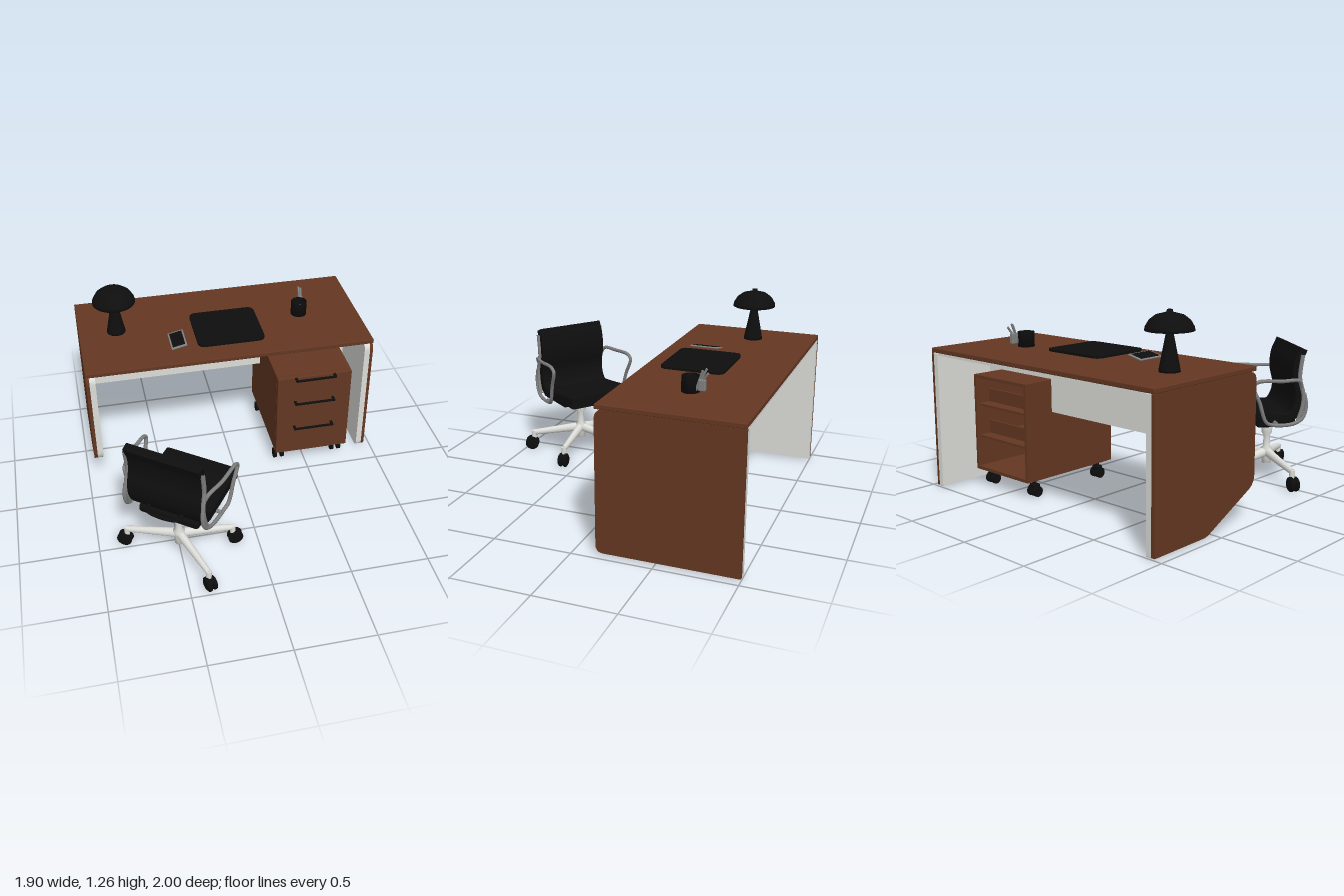
import * as THREE from 'three';
import { RoundedBoxGeometry } from 'three/addons/geometries/RoundedBoxGeometry.js';

const mat = (name, color, side = THREE.FrontSide) => {
  const m = new THREE.MeshStandardMaterial({ color, side });
  m.name = name;
  return m;
};
const V = (x, y, z) => new THREE.Vector3(x, y, z);

export function createModel() {
  const wood = mat('wood', 0x643722), white = mat('white lacquer', 0xdcdcd8);
  const black = mat('black', 0x0e0e0e, THREE.DoubleSide), grey = mat('grey metal', 0x808080);
  const model = new THREE.Group();

  const group = (name, parent = model) => {
    const g = new THREE.Group();
    g.name = name;
    parent.add(g);
    return g;
  };
  const add = (parent, name, geo, m) => {
    const mesh = new THREE.Mesh(geo, m);
    mesh.name = name;
    parent.add(mesh);
    return mesh;
  };
  // box given by its limits on each axis
  const box = (p, name, m, [x0, x1], [y0, y1], [z0, z1], r = 0) => {
    const s = [x1 - x0, y1 - y0, z1 - z0];
    const geo = r ? new RoundedBoxGeometry(...s, 3, r) : new THREE.BoxGeometry(...s);
    const mesh = add(p, name, geo, m);
    mesh.position.set((x0 + x1) / 2, (y0 + y1) / 2, (z0 + z1) / 2);
    return mesh;
  };
  // tapered round bar from a to b
  const rod = (p, name, m, a, b, ra, rb = ra) => {
    const d = b.clone().sub(a);
    const mesh = add(p, name, new THREE.CylinderGeometry(rb, ra, d.length(), 20), m);
    mesh.position.copy(a).addScaledVector(d, 0.5);
    mesh.quaternion.setFromUnitVectors(V(0, 1, 0), d.normalize());
    return mesh;
  };
  const tube = (p, name, m, pts, r, n = 60) =>
    add(p, name, new THREE.TubeGeometry(new THREE.CatmullRomCurve3(pts), n, r, 8), m);
  // closed outline of [x, y, cornerRadius]
  const outline = pts => {
    const shape = new THREE.Shape();
    pts.forEach(([x, y, r], i) => {
      const c = new THREE.Vector2(x, y);
      const toward = q => c.clone().add(new THREE.Vector2(q[0] - x, q[1] - y).setLength(r));
      const a = toward(pts[(i + pts.length - 1) % pts.length]);
      const b = toward(pts[(i + 1) % pts.length]);
      if (i) shape.lineTo(a.x, a.y); else shape.moveTo(a.x, a.y);
      shape.quadraticCurveTo(x, y, b.x, b.y);
    });
    return shape;
  };
  // extrude along x; shape x runs towards -z
  const sideExtrude = (shape, x0, depth, bevel = 0) => new THREE.ExtrudeGeometry(shape, {
    depth, bevelEnabled: bevel > 0, bevelSize: bevel, bevelThickness: bevel, bevelSegments: 3, curveSegments: 8,
  }).rotateY(Math.PI / 2).translate(x0, 0, 0);

  // desk: top, two-layer side panels, modesty panel
  const desk = group('desk');
  box(desk, 'deskTop', wood, [-0.95, 0.95], [0.885, 0.915], [-1, -0.135], 0.005);
  box(desk, 'topLining', white, [-0.93, 0.93], [0.868, 0.885], [-0.995, -0.17]);
  const rightSide = outline([[0.135, 0.01, 0.05], [1, 0.01, 0.005], [1, 0.885, 0.005], [0.135, 0.885, 0.06]]);
  const leftSide = outline([[0.57, 0.01, 0.03], [1, 0.01, 0.005], [1, 0.885, 0.005], [0.135, 0.885, 0.06], [0.135, 0.22, 0.06]]);
  add(desk, 'rightPanelOuter', sideExtrude(rightSide, 0.93, 0.02), wood);
  add(desk, 'rightPanelInner', sideExtrude(rightSide, 0.893, 0.037), white);
  add(desk, 'leftPanelOuter', sideExtrude(leftSide, -0.95, 0.022), wood);
  add(desk, 'leftPanelInner', sideExtrude(leftSide, -0.928, 0.038), white);
  box(desk, 'modestyPanel', white, [-0.893, 0.893], [0.74, 0.87], [-0.59, -0.565]);
  box(desk, 'modestyPanelLower', white, [-0.893, 0.285], [0.53, 0.74], [-0.59, -0.565]);
  box(desk, 'modestyPanelSide', white, [0.79, 0.893], [0.11, 0.74], [-0.59, -0.565]);

  // drawer pedestal, open at the back
  const ped = group('pedestal');
  box(ped, 'drawerFront', wood, [0.285, 0.79], [0.11, 0.735], [-0.1, -0.065], 0.004);
  for (const x of [0.285, 0.77]) box(ped, 'pedestalSide', wood, [x, x + 0.02], [0.11, 0.735], [-0.8, -0.1]);
  for (const y of [0.11, 0.715]) box(ped, 'pedestalBoard', wood, [0.305, 0.77], [y, y + 0.02], [-0.8, -0.1]);
  for (const y of [0.32, 0.53]) {
    box(ped, 'drawerFloor', wood, [0.305, 0.77], [y, y + 0.015], [-0.78, -0.1]);
    box(ped, 'drawerBack', wood, [0.305, 0.77], [y, y + 0.1], [-0.7, -0.685]);
  }
  for (const y of [0.73, 0.54, 0.33]) {
    box(ped, 'handleBar', black, [0.4, 0.675], [y - 0.007, y + 0.007], [-0.038, -0.024], 0.004);
    for (const x of [0.4, 0.66]) box(ped, 'handlePost', black, [x, x + 0.015], [y - 0.006, y + 0.006], [-0.066, -0.03]);
  }
  for (const x of [0.325, 0.74]) for (const z of [-0.16, -0.71]) {
    const c = group('pedestalCaster', ped);
    for (const s of [-1, 1]) {
      const w = add(c, 'wheel', new THREE.CylinderGeometry(0.035, 0.035, 0.02, 20), black);
      w.rotation.z = Math.PI / 2;
      w.position.set(s * 0.025, 0.036, 0);
    }
    box(c, 'casterFork', black, [-0.028, 0.028], [0.055, 0.085], [-0.024, 0.024], 0.01);
    rod(c, 'casterStem', black, V(0, 0.08, 0), V(0, 0.112, 0), 0.012);
    c.position.set(x, 0, z);
  }

  // mushroom lamp
  const lathe = (p, name, m, pts) =>
    add(p, name, new THREE.LatheGeometry(pts.map(q => new THREE.Vector2(...q)), 40), m);
  const lamp = group('lamp');
  lamp.position.set(-0.7, 0.915, -0.6);
  lathe(lamp, 'lampStand', black, [[0, 0], [0.062, 0], [0.06, 0.015], [0.022, 0.21], [0.012, 0.25], [0, 0.25]]);
  lathe(lamp, 'lampShade', black, [[0, 0.245], [0.08, 0.24], [0.125, 0.226], [0.14, 0.228], [0.137, 0.248],
    [0.115, 0.285], [0.08, 0.312], [0.03, 0.326], [0.018, 0.328], [0.016, 0.343], [0, 0.345]]);

  // things on the desk top
  const items = group('deskItems');
  const pad = add(items, 'deskPad', new THREE.ExtrudeGeometry(
    outline([[-0.2, 0.26, 0.05], [0.245, 0.26, 0.05], [0.245, 0.66, 0.05], [-0.2, 0.66, 0.05]]),
    { depth: 0.016, bevelEnabled: false }), black);
  pad.rotation.x = -Math.PI / 2;
  pad.position.y = 0.931;
  box(items, 'padFoot', black, [-0.1, 0.15], [0.915, 0.931], [-0.56, -0.36]);
  const phone = group('phone', items);
  box(phone, 'phoneBody', grey, [-0.053, 0.053], [-0.005, 0.005], [-0.095, 0.095], 0.004);
  box(phone, 'phoneScreen', black, [-0.042, 0.042], [0.004, 0.007], [-0.08, 0.08]);
  phone.position.set(-0.322, 0.932, -0.385);
  phone.rotation.z = 0.22;
  const cup = group('penCup', items);
  cup.position.set(0.548, 0.915, -0.56);
  lathe(cup, 'cup', black, [[0, 0], [0.053, 0], [0.053, 0.095], [0.048, 0.095], [0.048, 0.01], [0, 0.01]]);
  for (const [x, y, z] of [[0.02, 0.15, -0.1], [0.04, 0.13, -0.115], [0.032, 0.14, -0.08]])
    rod(cup, 'pen', grey, V(0.025, 0.02, -0.04), V(x, y, z), 0.007);
  box(cup, 'clip', grey, [0.015, 0.045], [0.02, 0.09], [-0.1, -0.055], 0.008);

  // office chair, turned towards the desk
  const chair = group('chair');
  chair.position.set(-0.505, 0, 0.615);
  const base = group('chairBase', chair);
  lathe(base, 'column', white, [[0, 0.1], [0.03, 0.1], [0.032, 0.17], [0.038, 0.2], [0.022, 0.215], [0.022, 0.29],
    [0.035, 0.31], [0.037, 0.37], [0.02, 0.4], [0, 0.4]]);
  for (const deg of [-4, 69, 206, 280]) {
    const leg = group('chairLeg', base);
    leg.rotation.y = -deg * Math.PI / 180;
    const arm = rod(leg, 'legArm', white, V(0.01, 0.175, 0), V(0.345, 0.128, 0), 0.032, 0.02);
    arm.scale.z = 0.85;
    rod(leg, 'legStem', white, V(0.345, 0.075, 0), V(0.345, 0.14, 0), 0.018);
    for (const s of [-1, 1]) {
      const w = add(leg, 'casterWheel', new RoundedBoxGeometry(0.096, 0.03, 0.096, 1, 0.01), black);
      w.geometry.dispose();
      w.geometry = new THREE.LatheGeometry([[0, -0.014], [0.036, -0.014], [0.048, -0.006], [0.048, 0.006],
        [0.036, 0.014], [0, 0.014]].map(q => new THREE.Vector2(...q)), 24);
      w.rotation.x = Math.PI / 2;
      w.position.set(0.36, 0.05, s * 0.017);
    }
    box(leg, 'casterHood', black, [0.325, 0.39], [0.055, 0.09], [-0.022, 0.022], 0.012);
  }

  const upper = group('chairUpper', chair);
  upper.rotation.y = 2.498;
  // one padded sling forms seat and back: centre line of [towards back, height]
  const line = new THREE.CatmullRomCurve3([[-0.325, 0.487], [-0.2, 0.482], [0, 0.462], [0.08, 0.465], [0.125, 0.53],
    [0.135, 0.61], [0.112, 0.72], [0.12, 0.82], [0.15, 0.893]].map(([u, v]) => V(u, v, 0)));
  const upperEdge = [], lowerEdge = [];
  for (let i = 0; i <= 48; i++) {
    const p = line.getPointAt(i / 48), t = line.getTangentAt(i / 48);
    const h = THREE.MathUtils.lerp(0.026, 0.014, i / 48);
    upperEdge.push(new THREE.Vector2(p.x - t.y * h, p.y + t.x * h));
    lowerEdge.unshift(new THREE.Vector2(p.x + t.y * h, p.y - t.x * h));
  }
  add(upper, 'seatAndBack', sideExtrude(new THREE.Shape([...upperEdge, ...lowerEdge]), -0.235, 0.47, 0.012), black);
  box(upper, 'seatMechanism', black, [-0.2, 0.2], [0.388, 0.445], [-0.13, 0.13], 0.02);
  tube(upper, 'backStrap', black, [V(-0.11, 0.5, -0.14), V(-0.1, 0.49, -0.19), V(0.1, 0.49, -0.19), V(0.11, 0.5, -0.14)], 0.012);
  rod(upper, 'seatCrossBar', grey, V(-0.28, 0.435, 0.03), V(0.28, 0.435, 0.03), 0.012);
  // arm loops that run on up the edge of the back
  for (const s of [-1, 1]) {
    tube(upper, 'armrest', grey, [[0.255, 0.66, -0.14], [0.275, 0.705, -0.12], [0.3, 0.712, 0], [0.308, 0.715, 0.16],
      [0.308, 0.69, 0.195], [0.3, 0.58, 0.15], [0.29, 0.455, 0.105], [0.28, 0.43, 0.07], [0.27, 0.425, -0.08],
      [0.262, 0.46, -0.15], [0.257, 0.54, -0.175], [0.255, 0.62, -0.16]].map(([x, y, z]) => V(s * x, y, z)), 0.012, 100);
    tube(upper, 'backFrame', grey, [[0.257, 0.44, -0.12], [0.255, 0.53, -0.15], [0.253, 0.61, -0.155],
      [0.25, 0.72, -0.13], [0.25, 0.87, -0.145]].map(([x, y, z]) => V(s * x, y, z)), 0.014);
  }
  return model;
}
